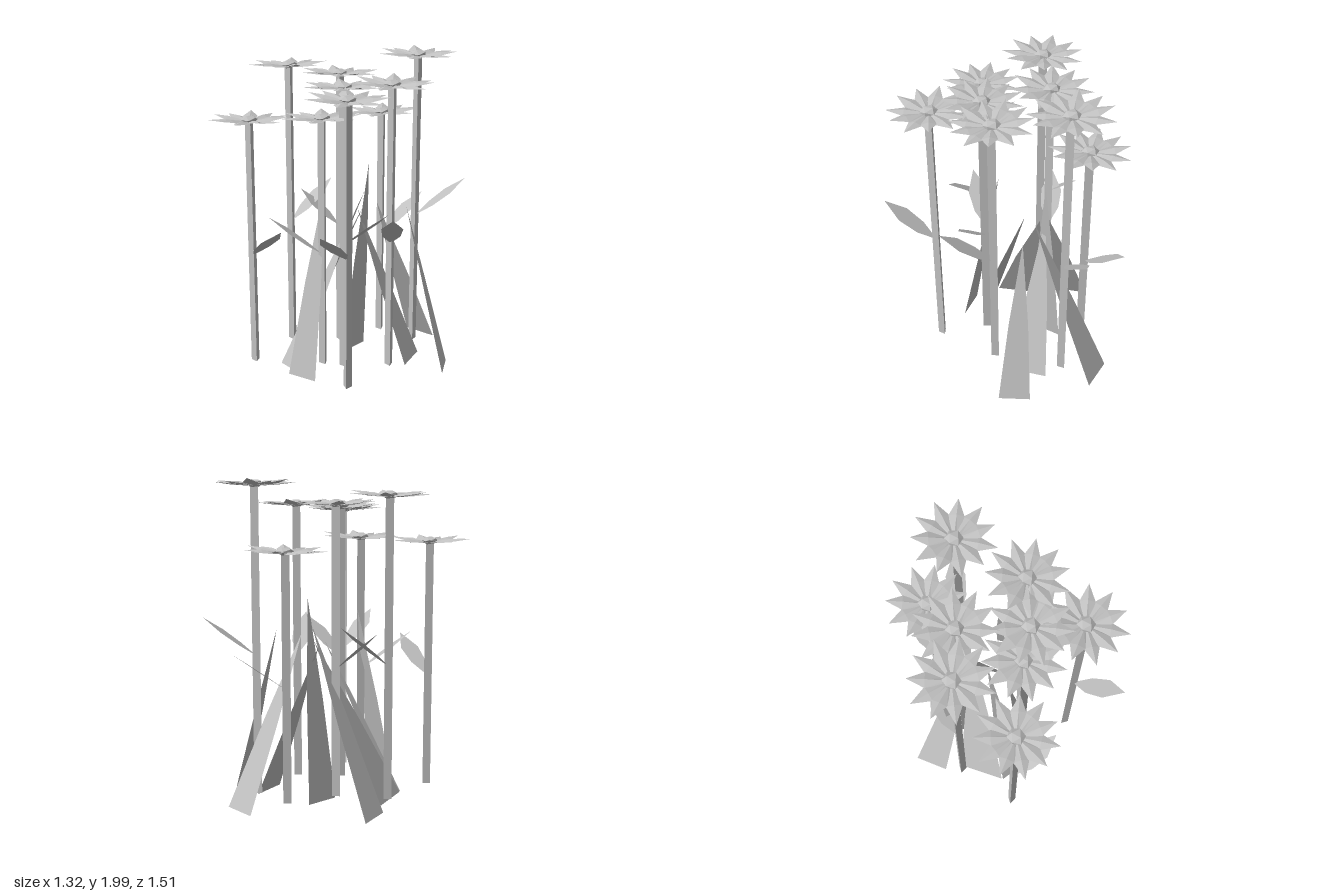
import * as THREE from 'three';

const grey = new THREE.MeshStandardMaterial({ color: 0xc0c0c0, flatShading: true, side: THREE.DoubleSide });
grey.name = 'plain grey';

// Thin surface from a list of corner points and triangles
function surface(name, points, faces) {
  const g = new THREE.BufferGeometry();
  g.setAttribute('position', new THREE.Float32BufferAttribute(points.flat(), 3));
  g.setIndex(faces.flat());
  const flat = g.toNonIndexed();
  flat.computeVertexNormals();
  return named(flat, name);
}

function named(geometry, name) {
  const mesh = new THREE.Mesh(geometry, grey);
  mesh.name = name;
  return mesh;
}

// Pointed petal folded along its middle, reaching out along +x
function petal(length, lift) {
  const w = 0.045, y = lift * 0.4;
  return surface('petal', [
    [0.03, -0.014, 0.016], [0.03, -0.006, 0], [0.03, -0.014, -0.016],
    [0.14, y - 0.008, w], [0.14, y + 0.007, 0], [0.14, y - 0.008, -w],
    [length, lift, 0],
  ], [[0, 3, 4], [0, 4, 1], [1, 4, 5], [1, 5, 2], [3, 6, 4], [4, 6, 5]]);
}

function flowerHead(turn) {
  const head = new THREE.Group();
  head.name = 'flowerHead';
  const count = 11;
  for (let i = 0; i < count; i++) {
    const p = petal(i % 2 ? 0.24 : 0.25, i % 2 ? 0.02 : 0.006);
    p.rotation.y = turn + (i / count) * Math.PI * 2;
    head.add(p);
  }
  const centre = named(new THREE.IcosahedronGeometry(0.054, 0), 'flowerCentre');
  centre.scale.y = 0.5;
  centre.rotation.y = turn;
  head.add(centre);
  return head;
}

// Six-cornered leaf from its base to its tip, level across its width
function stemLeaf(base, tip) {
  const a = new THREE.Vector3(...base), b = new THREE.Vector3(...tip);
  const side = new THREE.Vector3(b.z - a.z, 0, a.x - b.x).normalize();
  const at = (t, w) => a.clone().lerp(b, t).addScaledVector(side, w).toArray();
  return surface('stemLeaf',
    [at(0, 0), at(0.32, 0.055), at(0.65, 0.065), at(1, 0), at(0.65, -0.065), at(0.32, -0.055)],
    [[0, 1, 5], [1, 2, 4], [1, 4, 5], [2, 3, 4]]);
}

// Tall flat blade with slightly bowed sides
function blade(left, right, apex) {
  const a = new THREE.Vector3(...left), b = new THREE.Vector3(...right);
  const top = new THREE.Vector3(...apex);
  const bow = b.clone().sub(a).multiplyScalar(0.05);
  const midA = a.clone().lerp(top, 0.5).sub(bow).toArray();
  const midB = b.clone().lerp(top, 0.5).add(bow).toArray();
  return surface('blade', [left, right, midB, apex, midA], [[0, 1, 2], [0, 2, 4], [4, 2, 3]]);
}

// x, z, head height, head turn, stem turn, leaf base height, leaf tip
const flowers = [
  [0.03, -0.47, 1.575, 1.48, 0.8, 0.75, [0.19, 0.99, -0.76]],
  [0.30, -0.43, 1.965, 1.57, 0.5, 0.92, [0.56, 1.16, -0.63]],
  [-0.12, -0.18, 1.85, 1.74, 2.6, 0.85, [-0.38, 1.08, -0.12]],
  [-0.40, -0.03, 1.90, 1.50, 0.8, 0.88, [-0.26, 1.13, -0.31]],
  [0.35, 0.01, 1.84, 1.45, 0.7, 0.86, [0.51, 1.10, 0.295]],
  [0.11, 0.165, 1.825, 1.66, 0.9, 0.85, [0.43, 1.10, 0.20]],
  [-0.42, 0.38, 1.615, 1.57, 0.8, 0.76, [-0.12, 0.99, 0.51]],
  [0.28, 0.42, 1.80, 1.57, 0.3, 0.86, [0.30, 1.09, 0.755]],
  [-0.02, 0.20, 1.635, 1.57, 0.9, 0.78, [-0.28, 1.03, 0.40]],
];

// Two ground corners and the apex of each tall blade
const blades = [
  [[0.60, 0, -0.32], [0.66, 0, -0.13], [0.36, 1.05, -0.18]],
  [[0.14, 0, -0.68], [0.36, 0, -0.64], [0.15, 1.05, -0.18]],
  [[-0.48, 0, -0.36], [-0.45, 0, -0.14], [0.05, 1.1, -0.2]],
  [[-0.18, 0, 0.36], [0.02, 0, 0.37], [-0.05, 1.18, 0.13]],
  [[-0.37, 0, -0.06], [-0.31, 0, 0.24], [0.05, 1.0, -0.18]],
  [[-0.31, 0, 0.25], [-0.16, 0, 0.31], [0.05, 1.0, -0.08]],
  [[0.40, 0, -0.12], [0.38, 0, -0.35], [0.0, 0.98, -0.2]],
  [[-0.01, 0, -0.31], [-0.05, 0, -0.10], [0.07, 1.28, -0.22]],
];

export function createModel() {
  const model = new THREE.Group();
  model.name = 'flowerCluster';

  flowers.forEach(([x, z, top, headTurn, stemTurn, leafY, tip], i) => {
    const flower = new THREE.Group();
    flower.name = 'flower';

    // Three-sided stem
    const stem = named(new THREE.CylinderGeometry(0.029, 0.029, top - 0.05, 3), 'stem');
    stem.position.set(x, (top + 0.05) / 2, z);
    stem.rotation.y = stemTurn;

    const head = flowerHead(headTurn);
    head.position.set(x, top, z);
    head.rotation.set(0.03 * Math.sin(i * 2), 0, 0.04 * Math.cos(i * 2.3));

    flower.add(stem, head, stemLeaf([x, leafY, z], tip));
    model.add(flower);
  });

  // Tall leaning blades around the base
  for (const [left, right, apex] of blades) model.add(blade(left, right, apex));

  return model;
}
